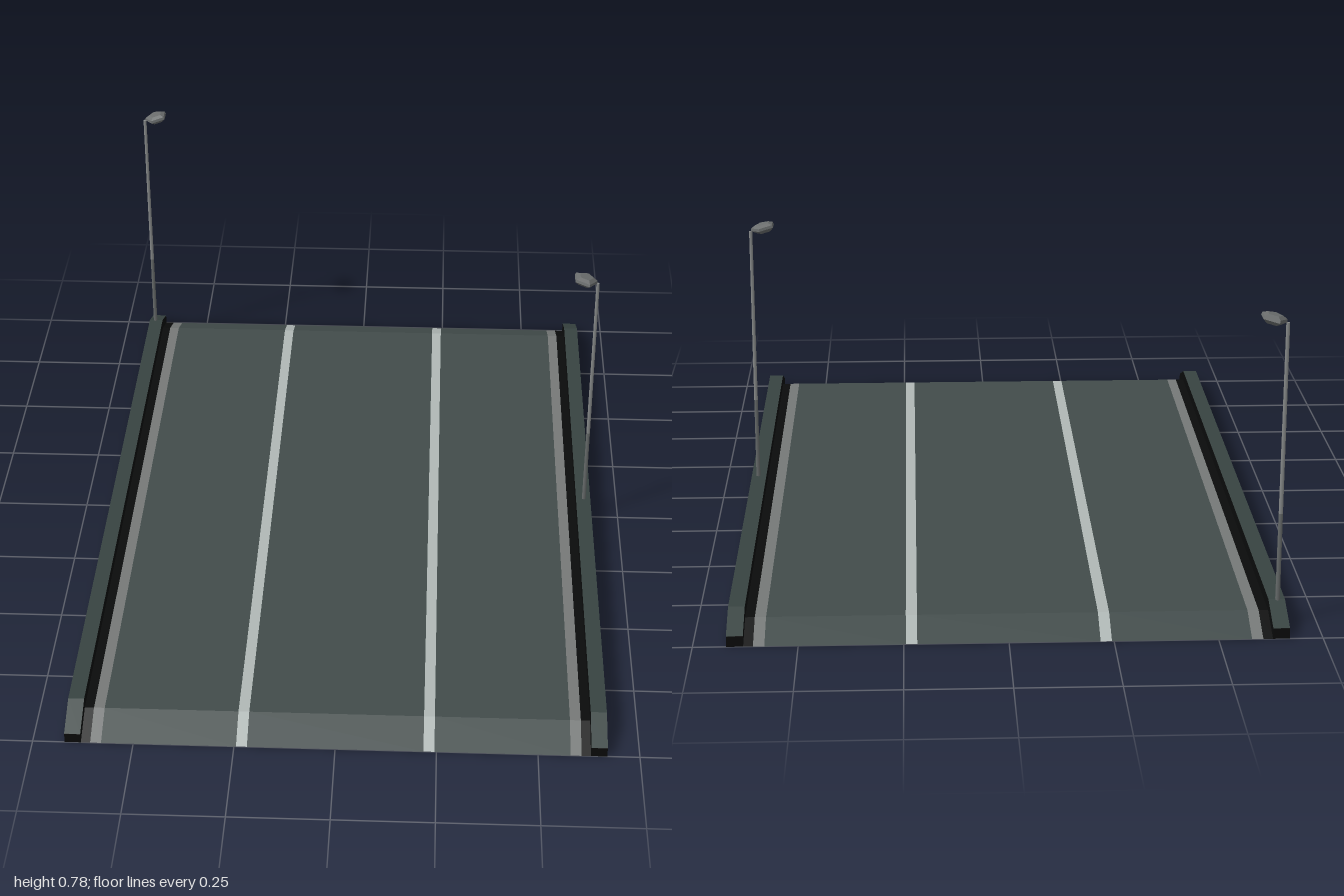
import * as THREE from 'three';

const mat = (name, color, side = THREE.FrontSide) => {
  const m = new THREE.MeshStandardMaterial({ color, side });
  m.name = name;
  return m;
};

// Lengthwise profiles as [z, y]: both ends ramp down
const ROAD = [[1, 0], [0.91, 0.036], [-0.91, 0.036], [-1, 0]];
const RAIL = [[1, 0.027], [0.91, 0.064], [-0.91, 0.064], [-1, 0.027]];

// Sheet following a profile between two x positions
function strip(x0, x1, profile) {
  const pos = [], index = [];
  profile.forEach(([z, y], i) => {
    pos.push(x0, y, z, x1, y, z);
    if (i > 0) {
      const a = (i - 1) * 2;
      index.push(a, a + 1, a + 2, a + 1, a + 3, a + 2);
    }
  });
  const g = new THREE.BufferGeometry();
  g.setAttribute('position', new THREE.Float32BufferAttribute(pos, 3));
  g.setIndex(index);
  const flat = g.toNonIndexed();
  flat.computeVertexNormals();
  return flat;
}

export function createModel() {
  const asphalt = mat('asphalt', 0x424c4b, THREE.DoubleSide);
  const laneWhite = mat('lane white', 0xb0b8b6, THREE.DoubleSide);
  const edgeGrey = mat('edge line grey', 0x767978, THREE.DoubleSide);
  const black = mat('barrier black', 0x0a0b0b, THREE.DoubleSide);
  const railGreen = mat('rail top green grey', 0x374341, THREE.DoubleSide);
  const poleGrey = mat('pole grey', 0x888b8b);
  const sleeveGrey = mat('lower pole grey', 0x686c6c);
  const lampGrey = mat('lamp grey', 0x6a6d6d);
  lampGrey.flatShading = true;

  const model = new THREE.Group();
  model.name = 'roadSection';
  const add = (name, geometry, material, parent = model) => {
    const m = new THREE.Mesh(geometry, material);
    m.name = name;
    parent.add(m);
    return m;
  };

  // Road deck: lanes, painted lines and gutters side by side
  const bands = [
    ['gutter', -0.632, -0.607, black], ['edgeLine', -0.607, -0.58, edgeGrey],
    ['lane', -0.58, -0.245, asphalt], ['laneLine', -0.245, -0.218, laneWhite],
    ['lane', -0.218, 0.218, asphalt], ['laneLine', 0.218, 0.245, laneWhite],
    ['lane', 0.245, 0.58, asphalt], ['edgeLine', 0.58, 0.607, edgeGrey],
    ['gutter', 0.607, 0.632, black],
  ];
  for (const [name, x0, x1, m] of bands) add(name, strip(x0, x1, ROAD), m);

  // Side barriers: black body with a coloured top
  const shape = new THREE.Shape([
    new THREE.Vector2(-1, 0),
    ...RAIL.map(([z, y]) => new THREE.Vector2(-z, y - 0.001)),
    new THREE.Vector2(1, 0),
  ]);
  for (const s of [-1, 1]) {
    const body = new THREE.ExtrudeGeometry(shape, { depth: 0.04, bevelEnabled: false });
    body.rotateY(Math.PI / 2).translate(s * 0.65 - 0.02, 0, 0);
    add('barrier', body, black);
    add('barrierTop', strip(s * 0.65 - 0.02, s * 0.65 + 0.02, RAIL), railGreen);
    // Black end skirts beside the ramps
    for (const e of [-1, 1]) {
      const skirt = new THREE.PlaneGeometry(0.026, 0.036);
      add('gutterEnd', skirt, black).position.set(s * 0.62, 0.018, e * 0.91);
    }
  }

  // Street lamps, heads leaning in over the road
  const headProfile = [[0, -0.012], [0.02, -0.012], [0.034, -0.002], [0.032, 0.005], [0.02, 0.011], [0, 0.011]]
    .map(([r, y]) => new THREE.Vector2(r, y));
  for (const [s, z] of [[-1, -0.91], [1, 0]]) {
    const lamp = new THREE.Group();
    lamp.name = 'streetLamp';
    lamp.position.set(s * 0.652, 0, z);
    if (s > 0) lamp.rotation.y = Math.PI;
    model.add(lamp);
    add('lowerPole', new THREE.CylinderGeometry(0.0055, 0.006, 0.225, 6), sleeveGrey, lamp).position.y = 0.1725;
    add('upperPole', new THREE.CylinderGeometry(0.0048, 0.0055, 0.475, 6), poleGrey, lamp).position.y = 0.5225;
    const head = add('lampHead', new THREE.LatheGeometry(headProfile, 5, -Math.PI / 2), lampGrey, lamp);
    head.position.set(0.034, 0.77, 0);
    head.rotation.z = 0.23;
  }
  return model;
}
